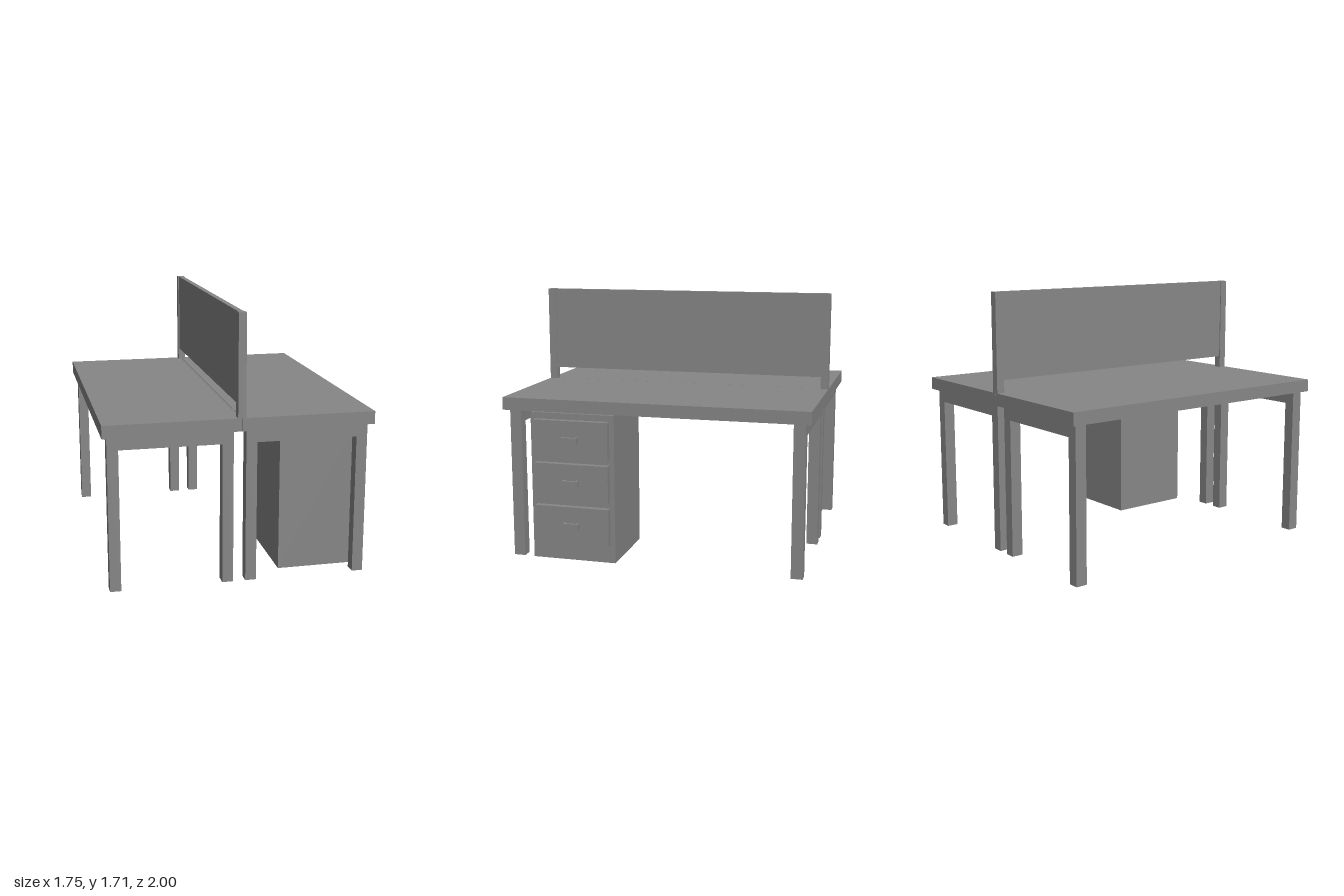
import * as THREE from 'three';

const material = new THREE.MeshStandardMaterial({ color: 0x878787 });

// Box given by its minimum and maximum on each axis
function box(name, [x0, x1], [y0, y1], [z0, z1]) {
  const mesh = new THREE.Mesh(new THREE.BoxGeometry(x1 - x0, y1 - y0, z1 - z0), material);
  mesh.position.set((x0 + x1) / 2, (y0 + y1) / 2, (z0 + z1) / 2);
  mesh.name = name;
  return mesh;
}

// Outline extruded along z, starting at z = 0
function extrude(name, points, depth) {
  const shape = new THREE.Shape(points.map(([x, y]) => new THREE.Vector2(x, y)));
  const geometry = new THREE.ExtrudeGeometry(shape, { depth, bevelEnabled: false });
  const mesh = new THREE.Mesh(geometry, material);
  mesh.name = name;
  return mesh;
}

// Portal frame: two legs joined by a top rail
function legFrame(x0, x1, z) {
  const leg = 0.07, top = 0.986, railBottom = 0.902;
  const frame = extrude('legFrame', [
    [x0, 0], [x0 + leg, 0], [x0 + leg, railBottom], [x1 - leg, railBottom],
    [x1 - leg, 0], [x1, 0], [x1, top], [x0, top],
  ], 0.075);
  frame.position.z = z;
  return frame;
}

function desk(name, top, legs) {
  const group = new THREE.Group();
  group.name = name;
  group.add(box('desktop', top, [0.986, 1.068], [-1, 1]));
  for (const z of [-0.963, 0.888]) group.add(legFrame(legs[0], legs[1], z));
  return group;
}

// U-shaped pull: open side against the drawer front
function handle(x, y, z) {
  const w = 0.052, out = 0.033, t = 0.016;
  const pull = extrude('drawerHandle', [
    [0, -w], [out, -w], [out, w], [0, w],
    [0, w - t], [out - t, w - t], [out - t, t - w], [0, t - w],
  ], 0.038);
  pull.rotation.x = -Math.PI / 2;
  pull.position.set(x, y - 0.019, z);
  return pull;
}

function drawerCabinet() {
  const group = new THREE.Group();
  group.name = 'drawerCabinet';
  group.add(box('cabinetBody', [0.271, 0.8], [0, 0.976], [0.255, 0.82]));
  for (let i = 0; i < 3; i++) {
    const y = 0.245 + i * 0.284;
    group.add(box('drawerFront', [0.8, 0.84], [y - 0.122, y + 0.122], [0.287, 0.787]));
    group.add(handle(0.84, y, 0.536));
  }
  return group;
}

// Divider screen held between two end posts
function divider() {
  const group = new THREE.Group();
  group.name = 'divider';
  group.add(box('screenPanel', [-0.04, -0.004], [1.149, 1.71], [-0.948, 0.948]));
  for (const [z0, z1] of [[-1, -0.948], [0.948, 1]]) {
    group.add(box('screenPost', [-0.047, 0.003], [1.068, 1.71], [z0, z1]));
  }
  return group;
}

export function createModel() {
  const model = new THREE.Group();
  model.name = 'doubleDesk';
  model.add(
    desk('rightDesk', [-0.873, -0.024], [-0.842, -0.064]),
    desk('leftDesk', [-0.021, 0.829], [0.015, 0.796]),
    drawerCabinet(),
    divider(),
  );
  return model;
}
